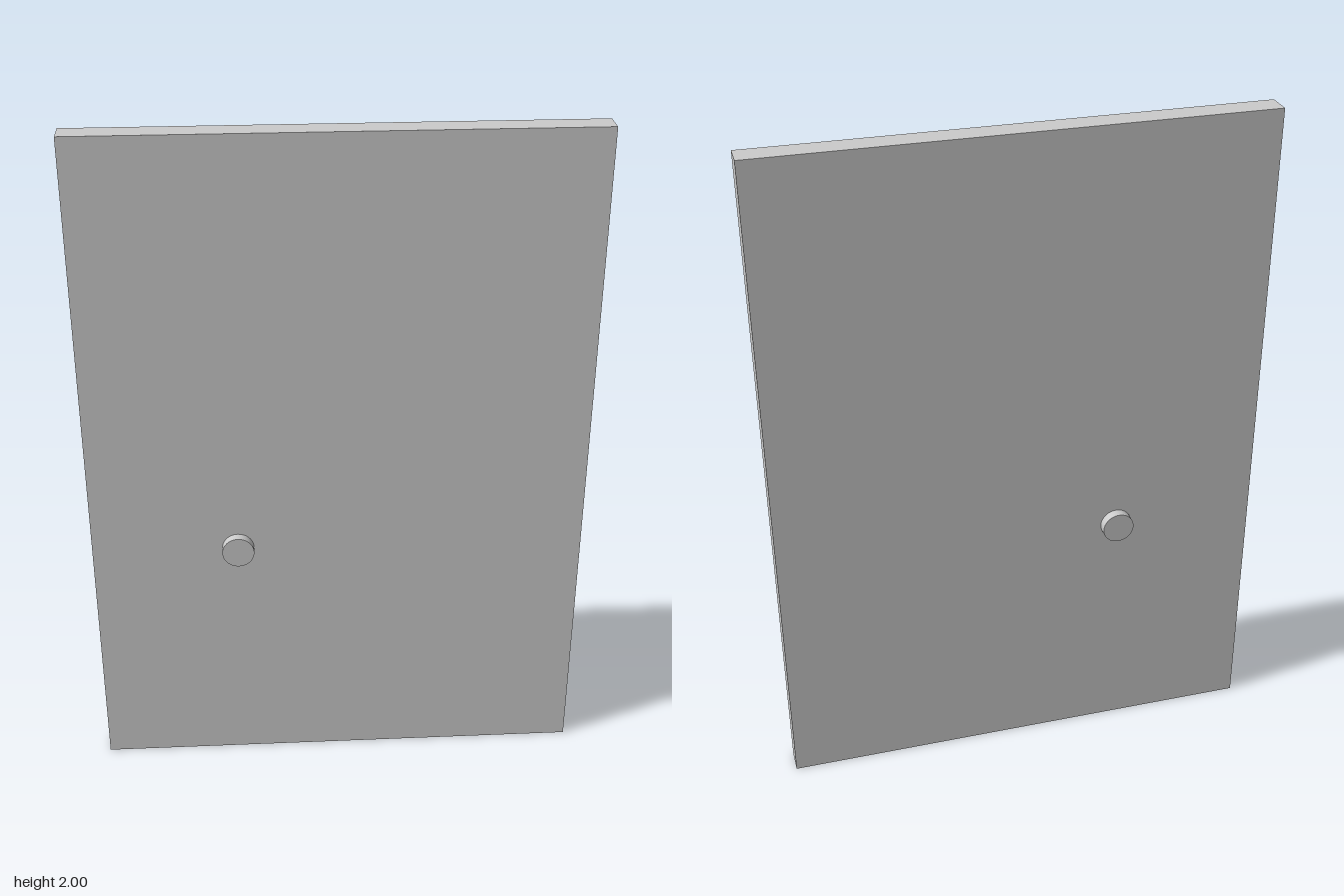
import * as THREE from 'three';

export function createModel() {
  const group = new THREE.Group();
  const material = new THREE.MeshStandardMaterial({ color: 0xcccccc });

  const add = (name, geometry, x, y, z) => {
    const mesh = new THREE.Mesh(geometry, material);
    mesh.name = name;
    mesh.position.set(x, y, z);
    group.add(mesh);
    return mesh;
  };

  // Flat door slab
  const thickness = 0.074;
  add('doorPanel', new THREE.BoxGeometry(1.456, 2, thickness), 0, 1, 0);

  // One short round knob on each face, slightly sunk into the slab
  const depth = 0.04, reach = 0.066;
  for (const side of [1, -1]) {
    const knob = add(
      side > 0 ? 'frontKnob' : 'backKnob',
      new THREE.CylinderGeometry(0.047, 0.047, depth, 48),
      -0.298, 0.745, side * (reach - depth / 2)
    );
    knob.rotation.x = side * Math.PI / 2;
  }

  return group;
}
